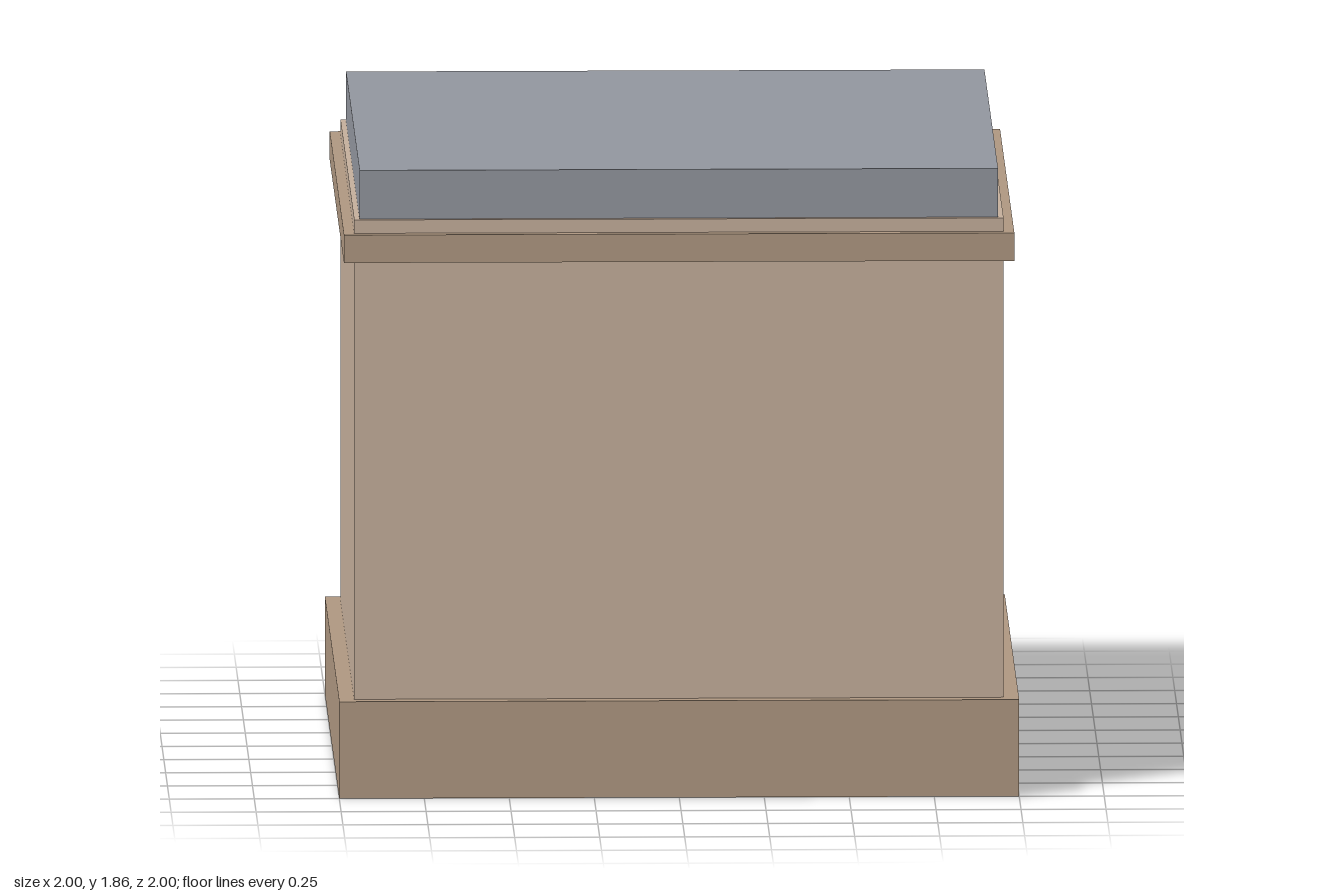
import * as THREE from 'three';

export function createModel() {
  const model = new THREE.Group();
  model.name = 'pedestal';

  const material = (color) => new THREE.MeshStandardMaterial({ color });
  const bodyStone = material(0xc4ae9b);
  const trimStone = material(0xae9781);
  const slate = material(0x92969e);

  // Square block of a given width, spanning from bottom to top
  const addBlock = (name, width, bottom, top, mat) => {
    const block = new THREE.Mesh(new THREE.BoxGeometry(width, top - bottom, width), mat);
    block.name = name;
    block.position.y = (bottom + top) / 2;
    model.add(block);
  };

  addBlock('base', 2, 0, 0.288, trimStone);
  // The body runs up through the band and shows as a thin step above it
  addBlock('body', 1.91, 0.25, 1.715, bodyStone);
  addBlock('band', 1.972, 1.592, 1.675, trimStone);
  addBlock('topSlab', 1.878, 1.7, 1.86, slate);

  return model;
}
